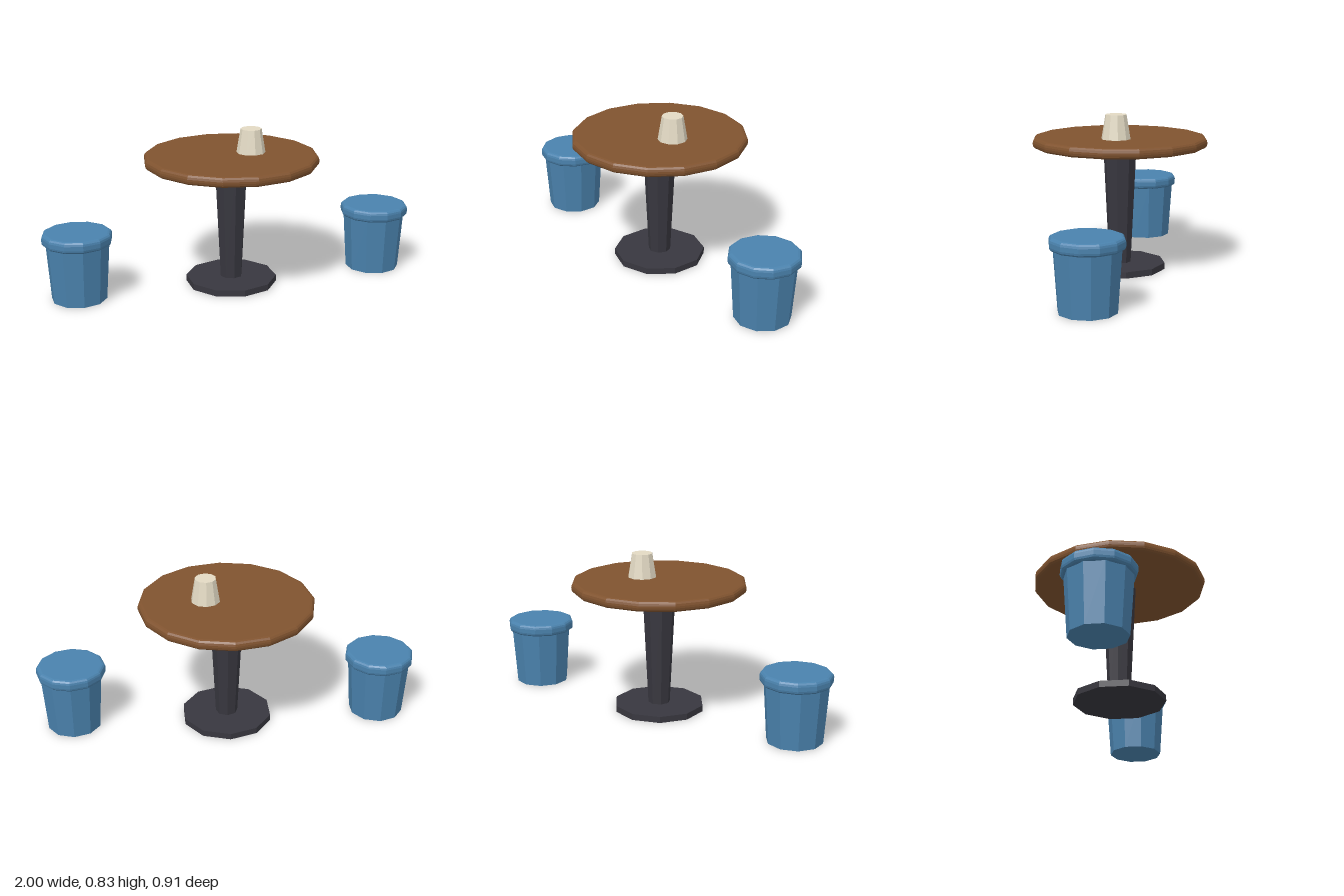
import * as THREE from 'three';

const material = (color) => new THREE.MeshStandardMaterial({ color, flatShading: true });

// Tapered prism standing on y0
function prism(name, rTop, rBottom, y0, y1, sides, mat) {
  const mesh = new THREE.Mesh(new THREE.CylinderGeometry(rTop, rBottom, y1 - y0, sides), mat);
  mesh.position.y = (y0 + y1) / 2;
  mesh.name = name;
  return mesh;
}

// Faceted disc with a rounded rim, closed above and below
function roundedDisc(name, radius, y0, y1, bevel, sides, mat) {
  const points = [new THREE.Vector2(0, y0)];
  const steps = 3;
  for (const [cy, start] of [[y0 + bevel, -Math.PI / 2], [y1 - bevel, 0]]) {
    for (let i = 0; i <= steps; i++) {
      const a = start + (i / steps) * Math.PI / 2;
      points.push(new THREE.Vector2(radius - bevel + bevel * Math.cos(a), cy + bevel * Math.sin(a)));
    }
  }
  points.push(new THREE.Vector2(0, y1));
  const mesh = new THREE.Mesh(new THREE.LatheGeometry(points, sides), mat);
  mesh.name = name;
  return mesh;
}

export function createModel() {
  const model = new THREE.Group();
  model.name = 'tableWithStools';
  const wood = material(0x80532f);
  const metal = material(0x38373f);
  const blue = material(0x4a82ad);
  const cream = material(0xe2d9c3);

  // Pedestal table
  const table = new THREE.Group();
  table.name = 'table';
  table.add(
    prism('tableBase', 0.24, 0.24, 0, 0.033, 10, metal),
    prism('tableColumn', 0.088, 0.058, 0.033, 0.655, 8, metal),
    roundedDisc('tableTop', 0.457, 0.65, 0.704, 0.022, 16, wood)
  );
  model.add(table);

  // Shade standing on the table
  const shade = prism('tableShade', 0.055, 0.076, 0.703, 0.83, 10, cream);
  shade.position.x = 0.108;
  model.add(shade);

  // Stools on both sides
  for (const [side, name] of [[1, 'leftStool'], [-1, 'rightStool']]) {
    const stool = new THREE.Group();
    stool.name = name;
    stool.position.x = side * 0.819;
    stool.add(
      prism('stoolBody', 0.164, 0.143, 0, 0.305, 10, blue),
      roundedDisc('stoolSeat', 0.181, 0.298, 0.36, 0.02, 12, blue)
    );
    model.add(stool);
  }
  return model;
}
